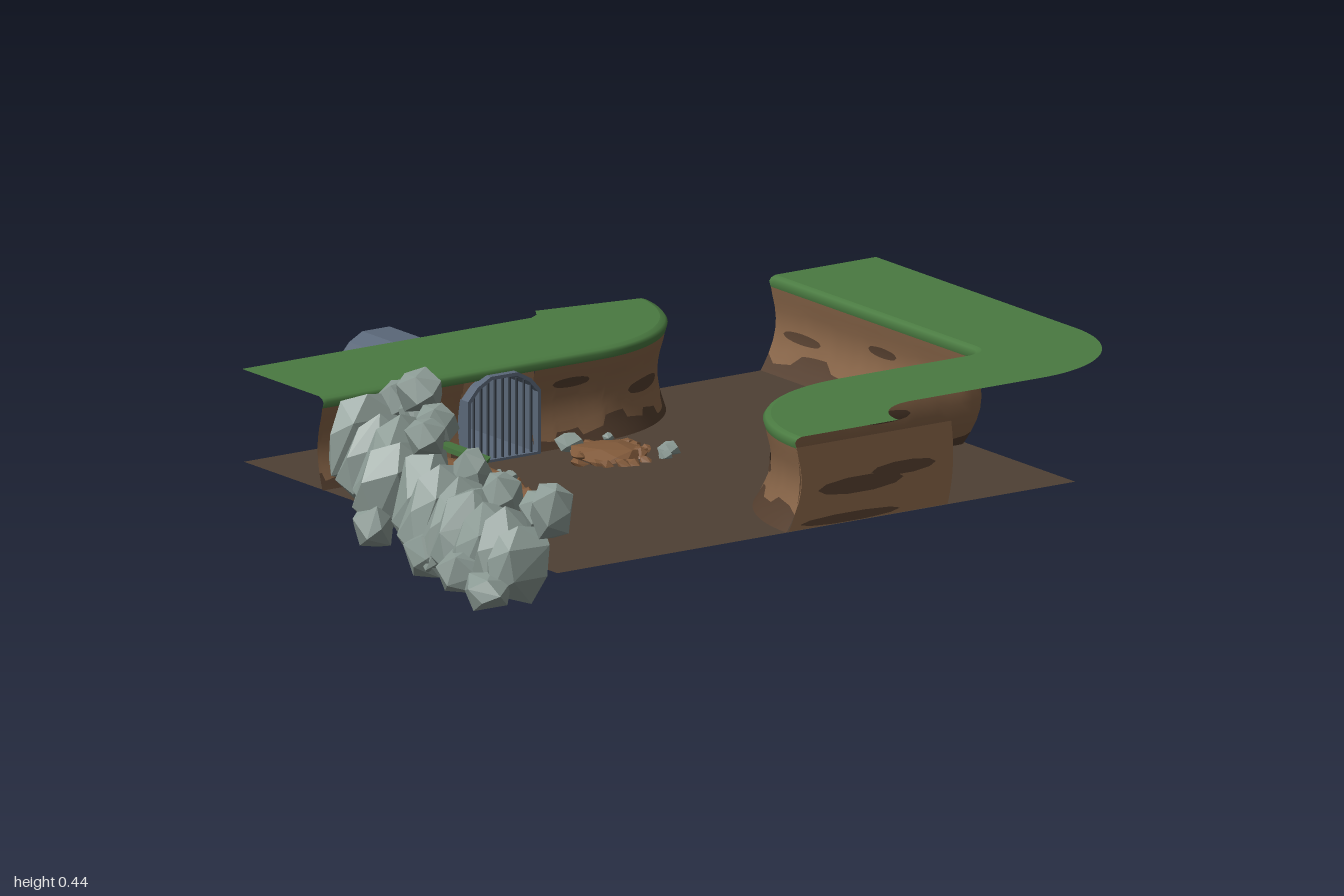
import * as THREE from 'three';
import { ConvexGeometry } from 'three/addons/geometries/ConvexGeometry.js';

const mat = (name, color, extra = {}) => {
  const m = new THREE.MeshStandardMaterial({ color, ...extra });
  m.name = name;
  return m;
};
const TWO = { side: THREE.DoubleSide };
const GROUND = 0.13, TOP = 0.35, LIP = 0.328;

// Seeded random numbers
let seed = 7;
const rnd = () => {
  seed = (seed * 16807) % 2147483647;
  return seed / 2147483647;
};

// Grid of points (columns x rows) turned into a smooth surface
function loft(cols, rows, pointAt) {
  const pos = [], idx = [];
  for (let i = 0; i <= cols; i++)
    for (let j = 0; j <= rows; j++) pos.push(...pointAt(i / cols, j / rows));
  for (let i = 0; i < cols; i++)
    for (let j = 0; j < rows; j++) {
      const a = i * (rows + 1) + j, b = a + rows + 1;
      idx.push(a, a + 1, b, b, a + 1, b + 1);
    }
  const g = new THREE.BufferGeometry();
  g.setAttribute('position', new THREE.Float32BufferAttribute(pos, 3));
  g.setIndex(idx);
  g.computeVertexNormals();
  return g;
}

// Point on a plan path, pushed d into the bank, at height y
function offset(path, u, d, y) {
  const p = path.getPoint(u), t = path.getTangent(u);
  return [p.x - t.y * d, y, p.y + t.x * d];
}

// Angular stone: hull of points scattered on a boxy ellipsoid
function stone(sx, sy, sz, count = 16) {
  const pts = [];
  for (let i = 0; i < count; i++) {
    const h = 1 - (2 * (i + 0.5)) / count, a = i * 2.4 + rnd() * 0.6, r = Math.sqrt(1 - h * h);
    const v = new THREE.Vector3(r * Math.cos(a), h, r * Math.sin(a));
    const box = Math.max(Math.abs(v.x), Math.abs(v.y), Math.abs(v.z));
    v.multiplyScalar((0.55 + 0.4 / box) * (0.92 + rnd() * 0.16));
    pts.push(v.multiply(new THREE.Vector3(sx, sy, sz)));
  }
  return new ConvexGeometry(pts);
}

export function createModel() {
  seed = 7;
  const model = new THREE.Group();
  const grass = mat('grass', 0x4a7a41, TWO);
  const soil = mat('soil floor', 0x4e4034, TWO);
  const clay = mat('clay', 0x886548, TWO);
  const darkClay = mat('dark clay', 0x553f2f, TWO);
  const dirt = mat('loose dirt', 0x80593a);
  const rock = mat('rock', 0x8c9b95);
  const steel = mat('pipe steel', 0x5a6778, TWO);
  const iron = mat('grate iron', 0x39414b);

  const add = (name, geo, material, parent = model) => {
    const m = new THREE.Mesh(geo, material);
    m.name = name;
    parent.add(m);
    return m;
  };

  // Floor
  const floor = add('floor', new THREE.PlaneGeometry(1.45, 1.245).rotateX(-Math.PI / 2), soil);
  floor.position.set(-0.045, GROUND, 0.048);

  // Hollow wall profile: depth into the bank by height
  const depth = (y, foot) => {
    const k = (y - GROUND) / (LIP - GROUND);
    return 0.02 * Math.sin(Math.PI * Math.min(1, k * 1.05)) + foot * Math.pow(1 - k, 2.2);
  };
  const edge = (u) => 0.168 + 0.012 * Math.sin(u * 23) + 0.01 * Math.sign(Math.sin(u * 57));

  // A bank: dark foot band, clay wall, patches, grass lip and flat grass top
  function bank(name, path, foot, spans, patches, outer) {
    const g = new THREE.Group();
    g.name = name;
    model.add(g);
    const strip = (label, u0, u1, lo, hi, m, push = 0, cols = 60) =>
      add(label, loft(cols, 6, (i, j) => {
        const u = u0 + (u1 - u0) * i, y = lo(u) + (hi(u) - lo(u)) * j;
        return offset(path, u, depth(y, foot) + push, y);
      }), m, g);
    for (const [u0, u1] of spans) {
      strip('wallFoot', u0, u1, () => GROUND, edge, darkClay);
      strip('wall', u0, u1, edge, () => LIP, clay);
    }
    for (const [u0, u1, y, h] of patches)
      for (const push of [-0.003, 0.003]) {
        const half = (u) => h * Math.pow(Math.max(0, Math.sin((Math.PI * (u - u0)) / (u1 - u0))), 0.4);
        strip('wallPatch', u0, u1, (u) => y - half(u), (u) => y + half(u), darkClay, push, 16);
      }
    const lip = [[0, LIP - 0.004], [-0.004, 0.338], [0.002, 0.346], [0.014, TOP]];
    add('grassLip', loft(110, 3, (i, j) => offset(path, i, ...lip[Math.round(j * 3)])), grass, g);
    const outline = [];
    for (let i = 0; i <= 110; i++) {
      const [x, , z] = offset(path, i / 110, 0.014, TOP);
      outline.push(new THREE.Vector2(x, -z));
    }
    for (const p of outer) outline.push(new THREE.Vector2(p.x, -p.y));
    const top = new THREE.ShapeGeometry(new THREE.Shape(outline)).rotateX(-Math.PI / 2);
    add('grassTop', top, grass, g).position.y = TOP;
  }

  // Right bank: sweeps in from the front, along, then to the back
  const rightPath = new THREE.Path();
  rightPath.moveTo(-0.1, 0.67);
  rightPath.absarc(0.3, 0.67, 0.4, Math.PI, 1.5 * Math.PI, false);
  rightPath.lineTo(0.66, 0.27);
  rightPath.absarc(0.66, 0.225, 0.045, Math.PI / 2, 0, true);
  rightPath.lineTo(0.705, -0.575);
  const rightOuter = new THREE.Path();
  rightOuter.moveTo(1, -0.575);
  rightOuter.lineTo(1, 0.22);
  rightOuter.absarc(0.675, 0.22, 0.325, 0, Math.PI / 2, false);
  rightOuter.lineTo(0.31, 0.545);
  rightOuter.absarc(0.31, 0.67, 0.125, 1.5 * Math.PI, Math.PI, true);
  bank('rightBank', rightPath, -0.028, [[0, 1]],
    [[0.1, 0.2, 0.23, 0.016], [0.36, 0.44, 0.24, 0.014], [0.74, 0.8, 0.255, 0.012], [0.9, 0.98, 0.22, 0.012]],
    rightOuter.getPoints(12));

  // Back bank, left open where the pipe comes through
  const backPath = new THREE.Path();
  backPath.moveTo(0.358, -0.575);
  backPath.absarc(0, -0.615, 0.36, 0.111, Math.PI / 2, false);
  backPath.lineTo(-0.775, -0.255);
  const backOuter = [[-0.775, -0.575], [0.035, -0.575], [0.06, -0.59], [0.08, -0.622]]
    .map(([x, z]) => new THREE.Vector2(x, z));
  bank('backBank', backPath, 0, [[0, 0.543], [0.695, 1]],
    [[0.2, 0.32, 0.23, 0.016], [0.42, 0.5, 0.28, 0.012], [0.78, 0.88, 0.25, 0.014]], backOuter);

  // Front end panel closing the right bank
  const panel = new THREE.Shape();
  panel.moveTo(-0.12, GROUND);
  panel.quadraticCurveTo(-0.07, 0.22, -0.1, 0.325);
  panel.lineTo(0.335, 0.325);
  panel.quadraticCurveTo(0.35, 0.22, 0.325, GROUND);
  add('endPanel', new THREE.ShapeGeometry(panel), clay).position.z = 0.667;
  for (const [x, y, w, h] of [[0.08, 0.215, 0.12, 0.02], [0.2, 0.237, 0.09, 0.016], [0.05, 0.142, 0.14, 0.011]]) {
    const patch = add('panelPatch', new THREE.CircleGeometry(1, 10), darkClay);
    patch.scale.set(w, h, 1);
    patch.position.set(x, y, 0.67);
  }

  // Arched pipe with a barred mouth
  const pipe = new THREE.Group();
  pipe.name = 'pipe';
  pipe.position.x = -0.28;
  model.add(pipe);
  const arch = [[-0.102, 0.133], [-0.102, 0.285], [-0.075, 0.315], [-0.038, 0.335],
    [0.038, 0.335], [0.075, 0.315], [0.102, 0.285], [0.102, 0.133]];
  const ring = [...arch, arch[0]];
  for (let i = 0; i < 8; i++) {
    const [a, b] = [ring[i], ring[i + 1]];
    add('pipeSide', loft(1, 1, (u, v) => {
      const p = u ? b : a;
      return [p[0], p[1], v ? -0.745 : -0.245];
    }), steel, pipe);
  }
  const frame = new THREE.Shape(arch.map(([x, y]) => new THREE.Vector2(x, y)));
  frame.holes.push(new THREE.Path(arch.map(([x, y]) => new THREE.Vector2(x * 0.92, 0.139 + (y - 0.133) * 0.93))));
  add('pipeRim', new THREE.ExtrudeGeometry(frame, { depth: 0.018, bevelEnabled: false }), steel, pipe).position.z = -0.252;
  for (let i = 0; i < 9; i++) {
    const x = -0.08 + i * 0.02, h = 0.195 - 4.5 * x * x;
    add('grateBar', new THREE.BoxGeometry(0.004, h, 0.006), iron, pipe).position.set(x, 0.133 + h / 2, -0.243);
  }
  for (const s of [-1, 1]) {
    const corner = new THREE.Shape([[0.102, 0.285], [0.075, 0.315], [0.038, 0.335], [0.102, 0.335]]
      .map(([x, y]) => new THREE.Vector2(s * x, y)));
    add('archCorner', new THREE.ShapeGeometry(corner), clay, pipe).position.z = -0.262;
  }

  // Rock wall: leaning slabs [x, y, z, half x, half y, half z]
  const slabs = [
    [-0.68, 0.25, -0.22, 0.1, 0.12, 0.05], [-0.72, 0.23, -0.13, 0.075, 0.12, 0.055],
    [-0.72, 0.23, -0.04, 0.085, 0.13, 0.055], [-0.78, 0.21, 0.04, 0.1, 0.12, 0.055],
    [-0.76, 0.2, 0.13, 0.07, 0.13, 0.055], [-0.8, 0.19, 0.22, 0.07, 0.13, 0.055],
    [-0.8, 0.17, 0.31, 0.075, 0.13, 0.055], [-0.83, 0.18, 0.39, 0.07, 0.12, 0.055],
    [-0.84, 0.16, 0.48, 0.08, 0.11, 0.06], [-0.84, 0.17, 0.56, 0.075, 0.11, 0.055],
    [-0.85, 0.16, 0.63, 0.08, 0.1, 0.05],
  ];
  // Loose boulders on and beside the wall
  const boulders = [
    [-0.66, 0.395, -0.03, 0.06, 0.055, 0.055], [-0.6, 0.32, -0.2, 0.055, 0.06, 0.05],
    [-0.62, 0.33, -0.1, 0.05, 0.05, 0.05], [-0.68, 0.34, 0.06, 0.05, 0.05, 0.05],
    [-0.79, 0.35, 0.18, 0.05, 0.05, 0.05], [-0.72, 0.28, 0.26, 0.05, 0.06, 0.05],
    [-0.78, 0.27, 0.46, 0.05, 0.06, 0.05], [-0.75, 0.25, 0.58, 0.05, 0.055, 0.055],
    [-0.79, 0.28, 0.68, 0.055, 0.07, 0.05], [-0.72, 0.05, 0.28, 0.05, 0.045, 0.055],
    [-0.93, 0.1, 0.62, 0.07, 0.045, 0.06], [-0.9, 0.11, 0.48, 0.07, 0.055, 0.065],
    [-0.85, 0.1, 0.27, 0.05, 0.06, 0.06], [-0.84, 0.12, 0.04, 0.06, 0.06, 0.05],
  ];
  const rocks = new THREE.Group();
  rocks.name = 'rockWall';
  model.add(rocks);
  for (const [x, y, z, sx, sy, sz] of slabs) {
    const m = add('slab', stone(sx, sy, sz), rock, rocks);
    m.position.set(x, y, z);
    m.rotation.set(0.15 * (rnd() - 0.5), 0.4 * (rnd() - 0.5), -0.4);
  }
  for (const [x, y, z, sx, sy, sz] of boulders) {
    const m = add('boulder', stone(sx, sy, sz, 14), rock, rocks);
    m.position.set(x, y, z);
    m.rotation.y = rnd() * 0.8;
  }

  // Dirt heaps: a low mound with broken clods round it
  function heap(x, z, r, h, clods) {
    const g = new THREE.Group();
    g.name = 'dirtHeap';
    g.position.set(x, GROUND, z);
    model.add(g);
    add('mound', stone(r * 0.8, h, r * 0.8, 26), dirt, g);
    for (let i = 0; i < clods; i++) {
      const a = i * 2.4, d = r * (0.5 + 0.5 * rnd()), s = r * (0.1 + 0.09 * rnd());
      const c = add('clod', stone(s * 1.4, s * 0.5, s, 10), dirt, g);
      c.position.set(d * Math.cos(a), h * 0.7 * (1 - d / r), d * Math.sin(a));
      c.rotation.set(0.4 * rnd(), a, 0.4 * rnd());
    }
  }
  heap(-0.57, -0.04, 0.19, 0.085, 26);
  heap(-0.05, -0.15, 0.115, 0.025, 20);

  // Fallen strip of turf and pebbles
  const turf = add('turfPiece', new THREE.BoxGeometry(0.15, 0.012, 0.045), grass);
  turf.position.set(-0.5, 0.215, -0.11);
  turf.rotation.set(0, -0.85, -0.3, 'YXZ');
  for (const [x, z, s, y] of [[0.07, -0.08, 0.03, 0.14], [0.04, -0.05, 0.018, 0.135], [-0.1, -0.23, 0.035, 0.15],
    [0, -0.22, 0.015, 0.15], [-0.48, 0.07, 0.02, 0.19], [-0.42, -0.06, 0.014, 0.16]])
    add('pebble', stone(s, s * 0.7, s, 12), rock).position.set(x, y, z);

  return model;
}
